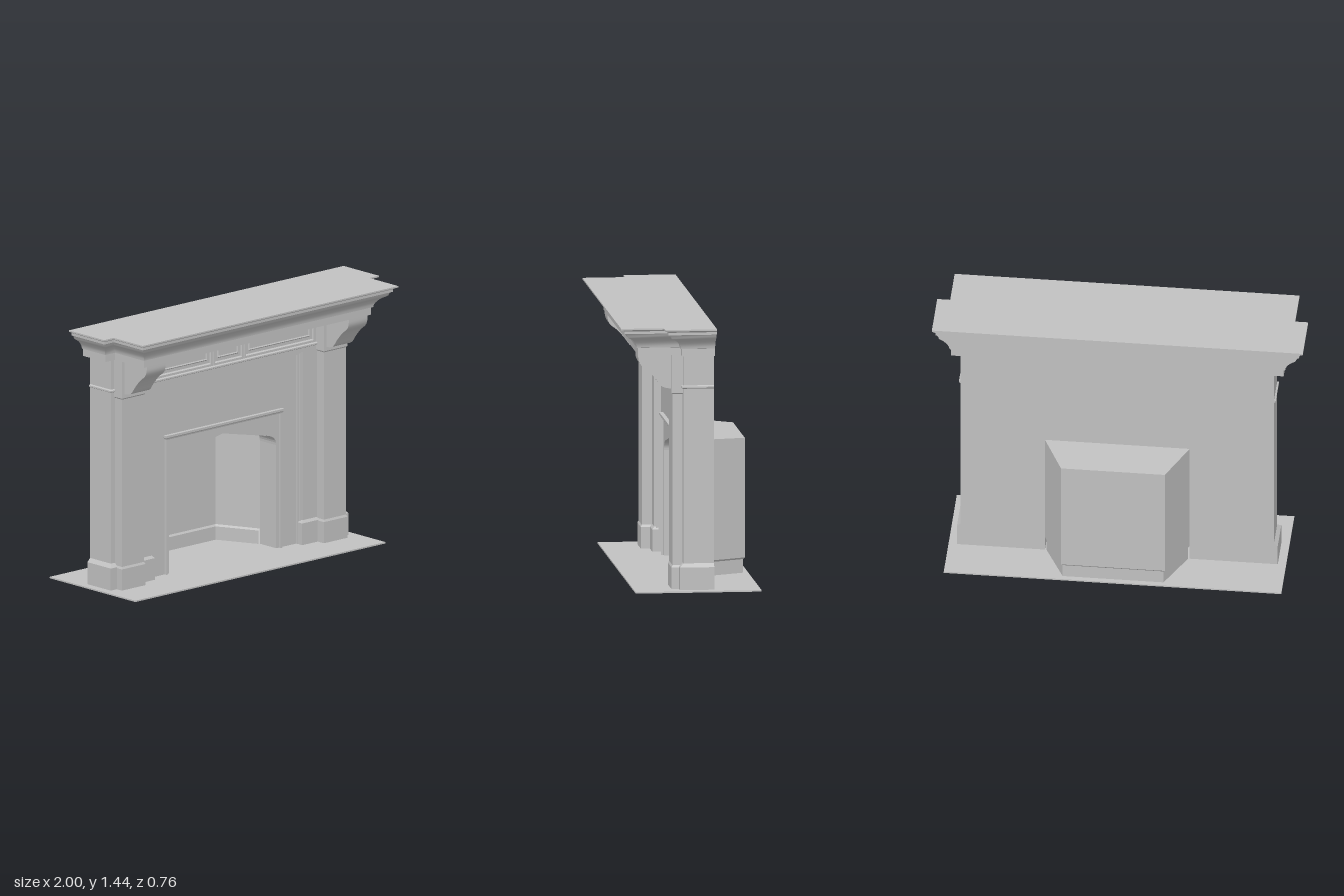
import * as THREE from 'three';
import { toCreasedNormals } from 'three/addons/utils/BufferGeometryUtils.js';

const BACK = -0.13;   // rear plane of the chimneypiece
const FACE = 0.035;   // front plane of the main body

// Skin between outlines: rings = [[level, [[a, b], ...]], ...], counter-clockwise.
function loft(rings, { open = false, caps = [true, true] } = {}) {
  const pos = [];
  const n = rings[0][1].length;
  const put = (r, i) => pos.push(...rings[r][1][i % n], rings[r][0]);
  for (let r = 0; r < rings.length - 1; r++) {
    for (let i = 0; i < (open ? n - 1 : n); i++) {
      put(r, i); put(r, i + 1); put(r + 1, i + 1);
      put(r, i); put(r + 1, i + 1); put(r + 1, i);
    }
  }
  const cap = (r, flip) => {
    const pts = rings[r][1].map(p => new THREE.Vector2(...p));
    for (const f of THREE.ShapeUtils.triangulateShape(pts, [])) {
      (flip ? [f[2], f[1], f[0]] : f).forEach(i => put(r, i));
    }
  };
  if (caps[0]) cap(0, true);
  if (caps[1]) cap(rings.length - 1, false);
  const g = new THREE.BufferGeometry();
  g.setAttribute('position', new THREE.Float32BufferAttribute(pos, 3));
  g.computeVertexNormals();
  return g;
}

// Upright loft: outlines lie in (x, -z), levels are heights.
const upright = (rings, opts) => loft(rings, opts).rotateX(-Math.PI / 2);

// Upright block whose front and sides swell by the given amount at each height.
const post = (x0, x1, z0, z1, levels) => upright(levels.map(([y, g]) =>
  [y, [[x0 - g, -z1 - g], [x1 + g, -z1 - g], [x1 + g, -z0], [x0 - g, -z0]]]));

// Door-shaped outline standing on the floor.
const doorway = (w, h) => [[-w, 0], [-w, h], [w, h], [w, 0]];

// Slab with an opening that runs down to the floor.
function portal(w, h, opening, z0, z1) {
  const s = new THREE.Shape([[-w, 0], ...opening, [w, 0], [w, h], [-w, h]]
    .map(p => new THREE.Vector2(...p)));
  return new THREE.ExtrudeGeometry(s, { depth: z1 - z0, bevelEnabled: false }).translate(0, 0, z0);
}

export function createModel() {
  const model = new THREE.Group();
  const stone = new THREE.MeshStandardMaterial({ color: 0xc0c0c0 });
  stone.name = 'grey stone';
  stone.side = THREE.DoubleSide;
  const add = (name, geometry, parent = model) => {
    const mesh = new THREE.Mesh(geometry, stone);
    mesh.name = name;
    parent.add(mesh);
    return mesh;
  };

  // Hearth slab
  add('hearth', new THREE.BoxGeometry(1.82, 0.008, 0.68).translate(0, 0.004, -0.04));

  // Low pointed arch of the fire opening, left to right
  const half = new THREE.CubicBezierCurve(
    new THREE.Vector2(-0.39, 0.58), new THREE.Vector2(-0.39, 0.62),
    new THREE.Vector2(-0.36, 0.64), new THREE.Vector2(-0.30, 0.648)
  ).getPoints(8).map(p => [p.x, p.y]);
  const arch = [[-0.39, 0], ...half, [0, 0.715],
    ...half.map(([x, y]) => [-x, y]).reverse(), [0.39, 0]];

  // Body: rear wall with the arch, front layer framing the recessed field
  add('rearWall', portal(0.845, 1.28, arch, BACK, 0));
  add('bodyFront', portal(0.845, 1.28, doorway(0.55, 1.075), 0, FACE));
  add('openingTrim', portal(0.55, 1.075, doorway(0.543, 1.068), 0, 0.026));
  add('openingInnerTrim', portal(0.543, 1.068, doorway(0.533, 1.058), 0, 0.014));
  add('archFrame', portal(0.422, 0.768, doorway(0.41, 0.758), 0, 0.014));
  add('archFrameCap', post(-0.422, 0.422, 0, 0.014,
    [[0.756, 0], [0.763, 0.002], [0.768, 0.008], [0.78, 0.008]]));
  add('friezeBead', post(-0.845, 0.845, BACK, FACE,
    [[1.097, 0], [1.102, 0.009], [1.11, 0.009], [1.115, 0]]));

  // Firebox: tapering shell with a set-in skirting and a slightly sloping top
  const plan = d => [[0.39 - d, 0.13], [0.28 - d, 0.36 - d], [-0.28 + d, 0.36 - d], [-0.39 + d, 0.13]];
  const shell = upright(
    [[0.004, plan(0.008)], [0.082, plan(0.008)], [0.092, plan(0)], [0.75, plan(0)]],
    { open: true, caps: [false, true] });
  const v = shell.attributes.position;
  for (let i = 0; i < v.count; i++) {
    if (v.getY(i) > 0.7) v.setY(i, v.getY(i) - (BACK - v.getZ(i)) * 0.04);
  }
  shell.computeVertexNormals();
  add('firebox', shell);

  // Corbel side outline in (z, y), curved along its front
  const scroll = new THREE.SplineCurve([
    [0.274, 1.28], [0.272, 1.25], [0.258, 1.222], [0.22, 1.192], [0.18, 1.147],
    [0.155, 1.113], [0.13, 1.099], [0.095, 1.093]].map(p => new THREE.Vector2(...p)));
  const corbelShape = new THREE.Shape([new THREE.Vector2(0.05, 1.28),
    new THREE.Vector2(0.05, 1.093), ...scroll.getPoints(24).reverse()]);

  // Pilasters, plinths and corbels on both sides
  for (const side of [1, -1]) {
    const group = new THREE.Group();
    group.name = side > 0 ? 'leftPilaster' : 'rightPilaster';
    model.add(group);
    const pair = (x0, x1) => (side > 0 ? [x0, x1] : [-x1, -x0]);
    add('pilasterShaft', post(...pair(0.655, 0.815), 0, 0.09,
      [[0, 0], [1.065, 0], [1.072, 0.006], [1.28, 0.006]]), group);
    add('pilasterPlinth', post(...pair(0.655, 0.815), 0, 0.09,
      [[0, 0.006], [0.125, 0.006], [0.137, 0]]), group);
    add('outerPlinth', post(...pair(0.72, 0.845), BACK, FACE,
      [[0, 0.02], [0.13, 0.02], [0.15, 0]]).scale(1, 1, 1), group);
    add('innerPlinth', post(...pair(0.548, 0.67), 0, FACE,
      [[0, 0.012], [0.128, 0.012], [0.142, 0]]), group);
    const corbel = new THREE.ExtrudeGeometry(corbelShape, { depth: 0.136, bevelEnabled: false })
      .rotateY(-Math.PI / 2).scale(1, 1, 1);
    add('corbel', toCreasedNormals(corbel.translate(side * 0.735 + 0.068, 0, 0), 0.6), group);
  }

  // Frieze panels: moulded border, sunk margin and raised field
  const panel = (name, cx, w) => {
    const rect = d => {
      const a = w / 2 - d, b = 0.072 - d;
      return [[cx - a, 1.195 - b], [cx + a, 1.195 - b], [cx + a, 1.195 + b], [cx - a, 1.195 + b]];
    };
    const steps = [[0, 0], [0, 0.012], [0.008, 0.012], [0.014, 0.003],
      [0.03, 0.003], [0.036, 0.009], [0.042, 0.005]];
    add(name, loft(steps.map(([d, z]) => [FACE + z, rect(d)]), { caps: [false, true] }));
  };
  panel('leftFriezePanel', 0.373, 0.51);
  panel('centreFriezePanel', 0, 0.215);
  panel('rightFriezePanel', -0.373, 0.51);

  // Cornice and shelf: stepped-back ends, profile given as [height, inset]
  const shelfPlan = d => {
    const right = [[0.93 - d, d - 0.38], [0.93 - d, d - 0.15], [1 - d, d - 0.15], [1 - d, -BACK]];
    return [...right, ...right.map(([x, z]) => [-x, z]).reverse()];
  };
  const profile = [[1.28, 0.103], [1.32, 0.103], [1.322, 0.095], [1.335, 0.093], [1.35, 0.085],
    [1.363, 0.074], [1.374, 0.06], [1.382, 0.045], [1.388, 0.038], [1.4, 0.034], [1.408, 0.027],
    [1.408, 0.02], [1.422, 0.02], [1.428, 0.014], [1.43, 0.004], [1.432, 0], [1.44, 0]];
  add('cornice', toCreasedNormals(
    upright(profile.map(([y, d]) => [y, shelfPlan(d)])), 0.6));

  return model;
}
